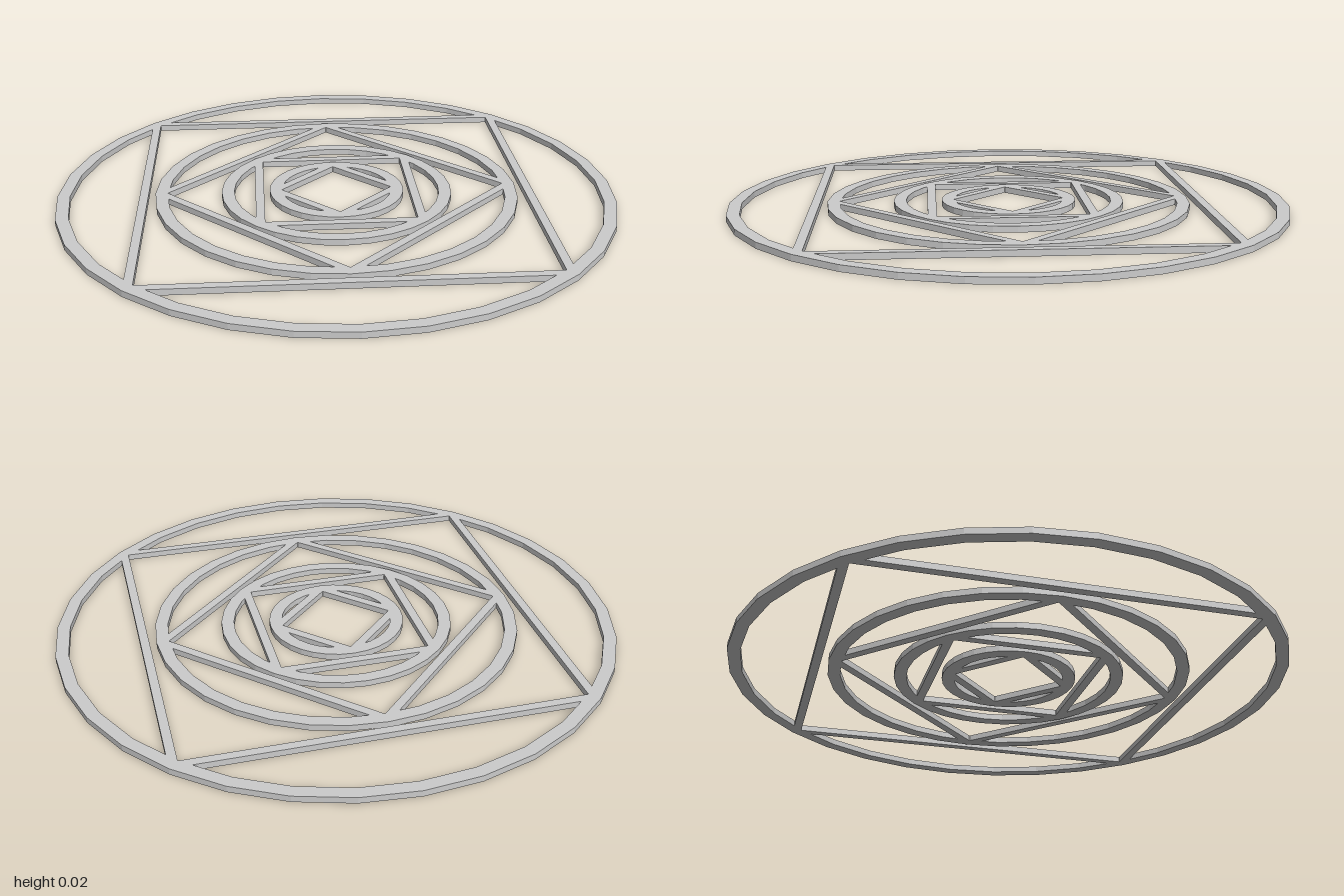
import * as THREE from 'three';

const HEIGHT = 0.022;
const RING_WIDTH = 0.045;
const BAR_WIDTH = 0.031;
const material = new THREE.MeshStandardMaterial({ color: 0xcccccc, flatShading: true });

// Corners of a regular polygon
function polygon(radius, sides, turn) {
  return Array.from({ length: sides }, (_, i) => {
    const a = turn + (i / sides) * Math.PI * 2;
    return new THREE.Vector2(Math.cos(a) * radius, Math.sin(a) * radius);
  });
}

// Flat polygonal frame lying on the ground
function frame(name, outer, inner, sides, turn = 0) {
  const shape = new THREE.Shape(polygon(outer, sides, turn));
  shape.holes.push(new THREE.Path(polygon(inner, sides, turn)));
  const geometry = new THREE.ExtrudeGeometry(shape, { depth: HEIGHT, bevelEnabled: false });
  geometry.rotateX(-Math.PI / 2);
  const mesh = new THREE.Mesh(geometry, material);
  mesh.name = name;
  return mesh;
}

export function createModel() {
  const group = new THREE.Group();
  group.name = 'nestedRingsAndSquares';

  // Each ring holds a square whose corners touch its rim; squares alternate by 45 degrees
  [1, 0.652, 0.415, 0.242].forEach((radius, i) => {
    group.add(frame(`ring${i + 1}`, radius, radius - RING_WIDTH, 32));
    const turn = i % 2 ? Math.PI / 4 : 0;
    group.add(frame(`squareFrame${i + 1}`, radius, radius - BAR_WIDTH * Math.SQRT2, 4, turn));
  });
  return group;
}
